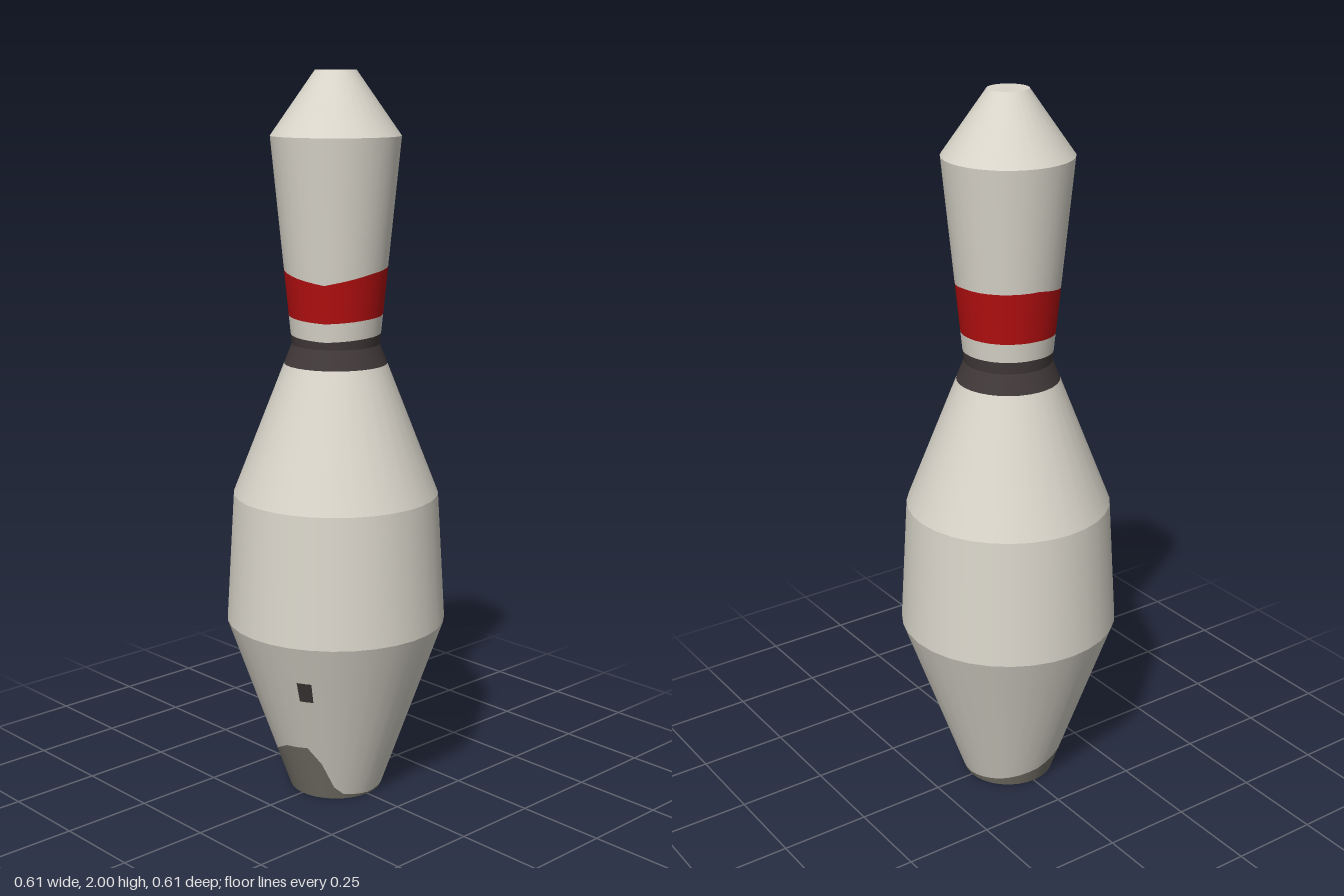
import * as THREE from 'three';

const SIDES = 32;

// Silhouette as [radius, height]
const PROFILE = [[0.13, 0], [0.305, 0.5], [0.283, 0.86], [0.12, 1.275], [0.175, 1.83], [0.055, 2]];

// Painted edges as [column, height]; columns run from +z towards +x
const SCUFF_TOP = [[0, 0.005], [8, 0.012], [12, 0.025], [16, 0.05], [20, 0.09], [24, 0.16],
  [26, 0.17], [27, 0.12], [28, 0.04], [29, 0.015], [32, 0.005]];
const COLLAR_TOP = [[0, 1.302], [8, 1.308], [16, 1.308], [27, 1.295], [32, 1.302]];
const STRIPE_BOTTOM = [[0, 1.353], [8, 1.36], [16, 1.36], [27, 1.345], [32, 1.353]];
const STRIPE_TOP = [[0, 1.476], [8, 1.498], [16, 1.5], [24, 1.462], [27, 1.448], [32, 1.476]];

// Height of an edge (a constant or a table) at a column
function heightAt(edge, column) {
  if (typeof edge === 'number') return edge;
  const k = edge.findIndex((p, i) => i > 0 && column <= p[0]);
  const [c0, y0] = edge[k - 1], [c1, y1] = edge[k];
  return y0 + (y1 - y0) * (column - c0) / (c1 - c0);
}

// Strip of one cone section between two edges, smooth around the axis
function strip(section, low, high, from = 0, to = SIDES, lift = 0, step = 1) {
  const [r0, y0] = PROFILE[section], [r1, y1] = PROFILE[section + 1];
  const slope = (r1 - r0) / (y1 - y0);
  const positions = [], normals = [], index = [];
  for (let c = from; c <= to + 1e-6; c += step) {
    const a = c / SIDES * Math.PI * 2;
    for (const edge of [low, high]) {
      const y = heightAt(edge, c);
      const r = r0 + slope * (y - y0) + lift;
      positions.push(Math.sin(a) * r, y, Math.cos(a) * r);
      const n = new THREE.Vector3(Math.sin(a), -slope, Math.cos(a)).normalize();
      normals.push(n.x, n.y, n.z);
    }
  }
  for (let i = 0; i + 3 < positions.length / 3; i += 2) {
    index.push(i, i + 2, i + 3, i, i + 3, i + 1);
  }
  const g = new THREE.BufferGeometry();
  g.setAttribute('position', new THREE.Float32BufferAttribute(positions, 3));
  g.setAttribute('normal', new THREE.Float32BufferAttribute(normals, 3));
  g.setIndex(index);
  return g;
}

export function createModel() {
  const group = new THREE.Group();
  const paint = (name, color) => {
    const m = new THREE.MeshStandardMaterial({ color });
    m.name = name;
    return m;
  };
  const white = paint('warm white', 0xdad6cb);
  const red = paint('stripe red', 0xb40f10);
  const dark = paint('collar dark', 0x413939);
  const grey = paint('scuff grey', 0x78746a);

  const add = (name, geometry, material) => {
    const mesh = new THREE.Mesh(geometry, material);
    mesh.name = name;
    group.add(mesh);
    return mesh;
  };

  // Base and belly
  add('baseScuff', strip(0, 0, SCUFF_TOP), grey);
  add('lowerBody', strip(0, SCUFF_TOP, 0.5), white);
  add('belly', strip(1, 0.5, 0.86), white);
  add('shoulder', strip(2, 0.86, 1.222), white);

  // Neck with dark collar and slanted red stripe
  add('collarLower', strip(2, 1.222, 1.275), dark);
  add('collarUpper', strip(3, 1.275, COLLAR_TOP), dark);
  add('neckGap', strip(3, COLLAR_TOP, STRIPE_BOTTOM), white);
  add('redStripe', strip(3, STRIPE_BOTTOM, STRIPE_TOP), red);
  add('neck', strip(3, STRIPE_TOP, 1.83), white);

  // Head
  add('head', strip(4, 1.83, 2), white);

  // Small chip mark on the lower body
  add('chipMark', strip(0, 0.33, 0.39, 26.1, 26.9, 0.002, 0.4), dark);

  // End caps
  const top = add('topCap', new THREE.CircleGeometry(0.055, SIDES), white);
  top.rotation.x = -Math.PI / 2;
  top.position.y = 2;
  const bottom = add('bottomCap', new THREE.CircleGeometry(0.13, SIDES), grey);
  bottom.rotation.x = Math.PI / 2;

  return group;
}
